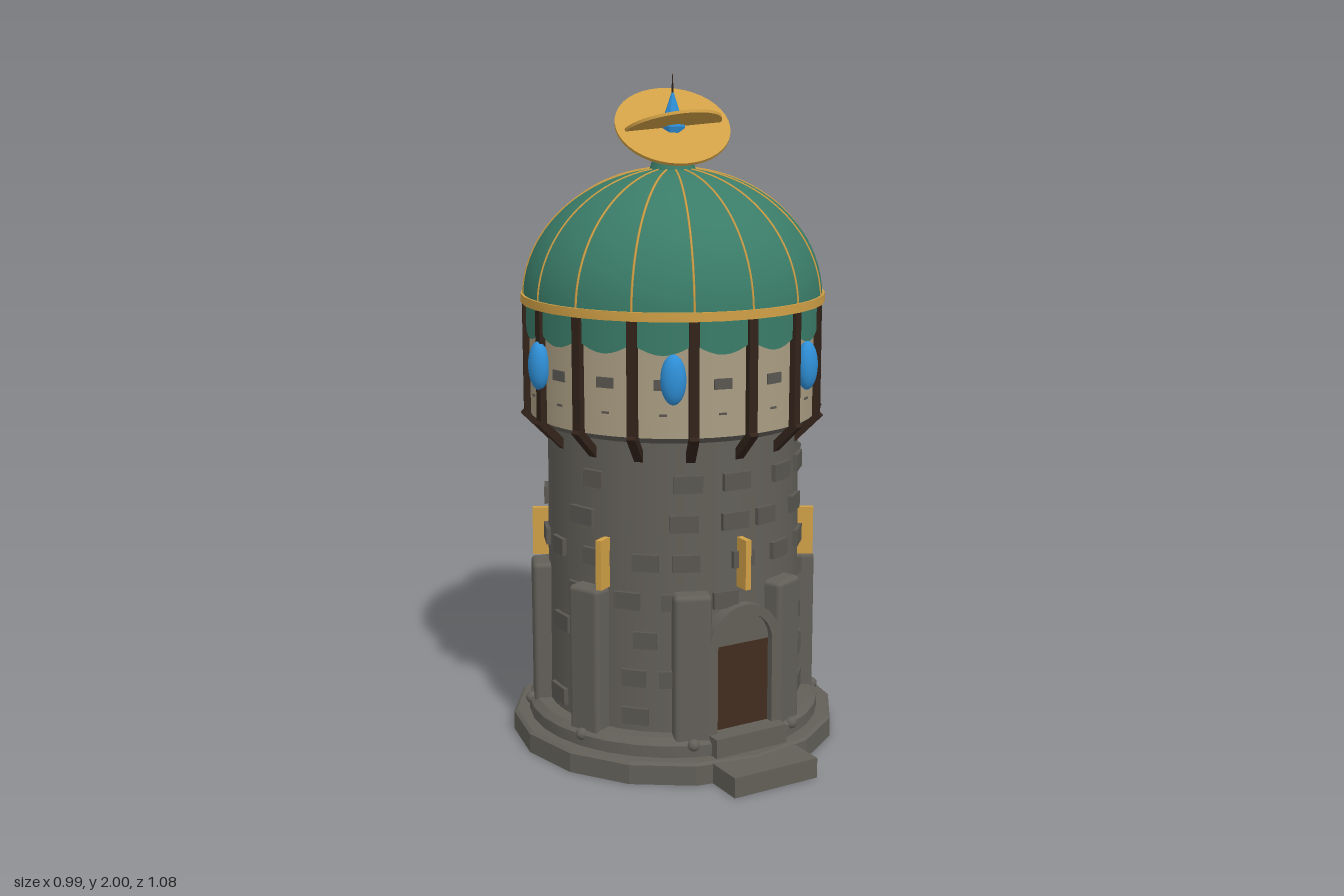
import * as THREE from 'three';
import { RoundedBoxGeometry } from 'three/addons/geometries/RoundedBoxGeometry.js';
import { toCreasedNormals } from 'three/addons/utils/BufferGeometryUtils.js';

const mat = (name, color, extra = {}) => Object.assign(new THREE.MeshStandardMaterial({ color, ...extra }), { name });

export function createModel() {
  const stone = mat('stone', 0x625f58);
  const brick = mat('brick', 0x5a5751);
  const plaster = mat('plaster', 0xaa9d82);
  const copper = mat('green copper', 0x3a7c68, { side: THREE.DoubleSide });
  const gold = mat('gold', 0xd0a046);
  const timber = mat('dark timber', 0x32231a);
  const doorWood = mat('door wood', 0x432c1f);
  const blue = mat('blue crystal', 0x2f90d8);

  const model = new THREE.Group();
  model.name = 'tower';
  const root = new THREE.Group();
  root.name = 'towerBody';
  root.position.z = -0.045;
  model.add(root);

  const add = (name, geo, material, x = 0, y = 0, z = 0, parent = root) => {
    const m = new THREE.Mesh(geo, material);
    m.name = name;
    m.position.set(x, y, z);
    parent.add(m);
    return m;
  };
  // Group turned so that its local +z points outward at the given angle
  const spoke = (name, angle) => {
    const g = new THREE.Group();
    g.name = name;
    g.rotation.y = angle;
    root.add(g);
    return g;
  };
  const lathe = (pts, n, crease = 0.6) =>
    toCreasedNormals(new THREE.LatheGeometry(pts.map(p => new THREE.Vector2(...p)), n), crease);
  const box = (w, h, d) => new THREE.BoxGeometry(w, h, d);
  const ring = (n, f, offset = 0) => {
    for (let i = 0; i < n; i++) f((i + offset) * Math.PI * 2 / n, i);
  };

  // Foundation, plinth and steps
  add('foundation', lathe([[0, 0], [0.495, 0], [0.495, 0.058], [0.485, 0.065], [0, 0.065]], 16, 0.2), stone);
  add('plinth', lathe([[0.446, 0.06], [0.446, 0.1], [0.425, 0.118], [0.36, 0.118]], 32), stone);
  add('frontStep', box(0.28, 0.06, 0.26), stone, 0, 0.03, 0.455);
  add('doorStep', box(0.24, 0.06, 0.1), stone, 0, 0.092, 0.405);

  // Round wall and the floor under the upper storey
  add('wall', new THREE.CylinderGeometry(0.376, 0.386, 0.95, 48, 1, true), stone, 0, 0.535, 0);
  add('overhang', new THREE.CylinderGeometry(0.428, 0.405, 0.02, 48), stone, 0, 0.992, 0);

  // Raised bricks in staggered courses, some left out
  let seed = 7;
  const rand = () => (seed = (seed * 16807) % 2147483647) / 2147483647;
  for (let row = 0; row < 7; row++) {
    ring(16, a => {
      const keep = rand() < 0.78;
      const jitter = (rand() - 0.5) * 0.12;
      const width = 0.065 + rand() * 0.025;
      const nearDoor = row < 3 && Math.abs(Math.sin(a / 2)) < 0.19;
      if (!keep || nearDoor) return;
      add('wallBrick', box(width, 0.05, 0.03), brick, 0, 0.165 + row * 0.1155, 0.38 - row * 0.001,
        spoke('brickSpoke', a + jitter));
    }, row % 2 ? 0.75 : 0);
  }

  // Buttresses with a stud at each foot
  const buttressGeo = new RoundedBoxGeometry(0.11, 0.48, 0.09, 2, 0.015);
  ring(8, a => {
    const g = spoke('buttress', a);
    add('buttressBlock', buttressGeo, stone, 0, 0.303, 0.387, g);
    add('footStud', new THREE.SphereGeometry(0.018, 12, 8), stone, 0, 0.1, 0.44, g);
  }, 0.5);

  // Gold fins on the wall
  ring(6, a => add('goldFin', box(0.018, 0.147, 0.07), gold, 0, 0.618, 0.393, spoke('finSpoke', a)));

  // Door, tympanum, jambs and arch
  add('door', box(0.185, 0.27, 0.05), doorWood, 0, 0.242, 0.367);
  const archShape = (outer, inner) => {
    const s = new THREE.Shape();
    s.absarc(0, 0, outer, 0, Math.PI, false);
    if (inner) s.absarc(0, 0, inner, Math.PI, 0, true);
    return s;
  };
  const extrude = (s, depth) => new THREE.ExtrudeGeometry(s, { depth, bevelEnabled: false, curveSegments: 20 });
  add('tympanum', extrude(archShape(0.1), 0.05), stone, 0, 0.376, 0.345);
  add('doorArch', extrude(archShape(0.12, 0.092), 0.07), stone, 0, 0.376, 0.345);
  for (const s of [-1, 1]) add('doorJamb', box(0.027, 0.27, 0.07), stone, s * 0.106, 0.242, 0.38);

  // Upper storey
  add('upperStorey', new THREE.CylinderGeometry(0.43, 0.428, 0.335, 48, 1, true), plaster, 0, 1.168, 0);
  ring(16, a => {
    const g = spoke('storeyStones', a);
    add('storeyStone', box(0.052, 0.03, 0.014), brick, 0, 1.152, 0.426, g);
    add('smallStone', box(0.022, 0.006, 0.01), brick, 0, 1.067, 0.426, g);
  }, 0.5);

  // Timber posts with slanted brackets
  ring(16, a => {
    const g = spoke('timberFrame', a);
    add('post', box(0.028, 0.335, 0.026), timber, 0, 1.168, 0.434, g);
    const b = add('bracket', box(0.026, 0.115, 0.024), timber, 0, 0.967, 0.407, g);
    b.rotation.x = 0.78;
  });

  // Oval crystals
  ring(6, a => {
    const c = add('ovalCrystal', new THREE.SphereGeometry(1, 20, 14), blue, 0, 1.17, 0.444, spoke('crystalSpoke', a));
    c.scale.set(0.036, 0.071, 0.03);
  }, 0.5);

  // Scalloped valance below the dome
  const valance = new THREE.CylinderGeometry(0.437, 0.437, 0.1, 128, 1, true);
  const p = valance.attributes.position;
  for (let i = 0; i < p.count; i++) {
    if (p.getY(i) > 0) continue;
    const a = Math.atan2(p.getX(i), p.getZ(i));
    p.setY(i, -0.06 - 0.03 * Math.abs(Math.sin(a * 8)));
  }
  add('valance', valance, copper, 0, 1.325, 0);

  // Dome, rim and ribs
  const R = 0.444, H = 0.378, Y = 1.342;
  const domePts = [];
  for (let i = 0; i <= 20; i++) {
    const t = i / 20 * Math.PI / 2;
    domePts.push(new THREE.Vector2(R * Math.cos(t), Y + H * Math.sin(t)));
  }
  add('dome', new THREE.LatheGeometry(domePts, 48), copper);
  add('domeRim', lathe([[0.42, 1.33], [0.451, 1.33], [0.451, 1.356], [0.42, 1.356], [0.42, 1.33]], 32), gold);
  const ribCurve = new THREE.CatmullRomCurve3(
    domePts.slice(0, 19).map(v => new THREE.Vector3(0, v.y, v.x)));
  const ribGeo = new THREE.TubeGeometry(ribCurve, 28, 0.0036, 5);
  ring(16, a => add('domeRib', ribGeo, gold, 0, 0, 0, spoke('ribSpoke', a)));
  add('domeNeck', new THREE.CylinderGeometry(0.055, 0.075, 0.07, 16), copper, 0, 1.725, 0);

  // Finial: two crossed tilted discs, faceted crystal and spike
  const disc = (name, r, rx, rz) => {
    const d = add(name, new THREE.CylinderGeometry(r, r, 0.009, 40), gold, 0, 1.838, 0);
    d.rotation.order = 'ZXY';
    d.rotation.set(rx, 0, rz);
  };
  disc('largeDisc', 0.17, 0.61, 0.25);
  disc('smallDisc', 0.146, -0.335, 0);
  add('finialCrystal', lathe([[0, 1.75], [0.018, 1.77], [0.038, 1.838], [0.02, 1.885], [0, 1.945]], 8, 0.05), blue);
  add('spike', new THREE.ConeGeometry(0.005, 0.09, 8), timber, 0, 1.955, 0);

  return model;
}
